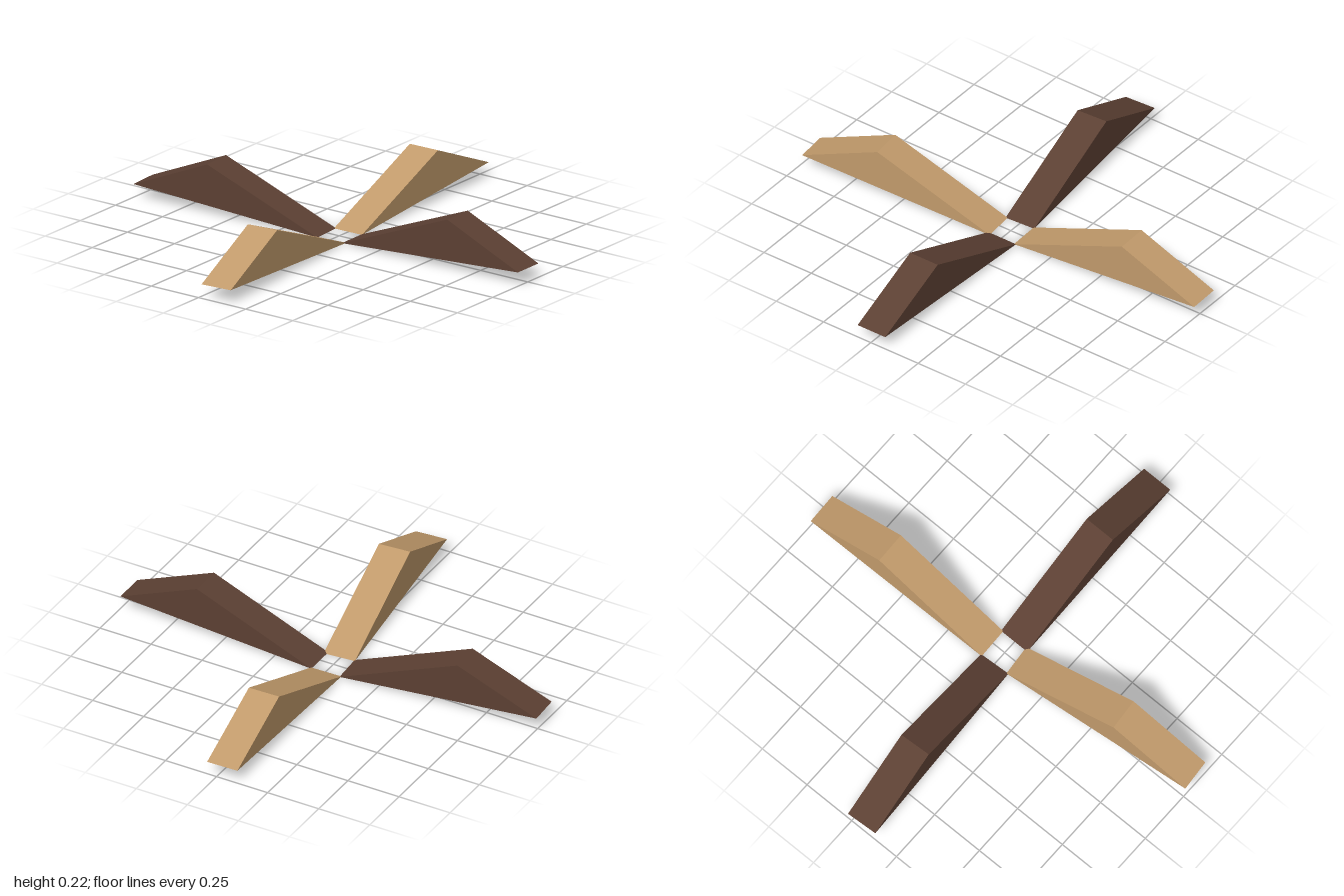
import * as THREE from 'three';

export function createModel() {
  const model = new THREE.Group();
  const tan = new THREE.MeshStandardMaterial({ color: 0xc19a6b });
  tan.name = 'tan';
  const darkBrown = new THREE.MeshStandardMaterial({ color: 0x5c4033 });
  darkBrown.name = 'dark brown';

  // Triangular wedge: starts at a low inner edge, rises to a ridge, drops to the tip
  const width = 0.146;
  const profile = new THREE.Shape([
    new THREE.Vector2(0, 0.004),
    new THREE.Vector2(0.935, 0.066),
    new THREE.Vector2(0.56, 0.226),
  ]);
  const wedge = new THREE.ExtrudeGeometry(profile, { depth: width, bevelEnabled: false });
  wedge.translate(0, 0, -width / 2);

  // Each flap runs from the middle of its inner edge to the middle of its tip (x, z)
  const flaps = [
    ['leftFlap', darkBrown, [0.065, -0.003], [1.0, -0.003]],
    ['rightFlap', darkBrown, [-0.066, 0.001], [-0.995, 0.055]],
    ['backFlap', tan, [-0.003, -0.066], [-0.028, -1.0]],
    ['frontFlap', tan, [0.006, 0.06], [0.087, 0.99]],
  ];
  for (const [name, material, inner, tip] of flaps) {
    const flap = new THREE.Mesh(wedge, material);
    flap.name = name;
    flap.position.set(inner[0], 0, inner[1]);
    flap.rotation.y = Math.atan2(inner[1] - tip[1], tip[0] - inner[0]);
    model.add(flap);
  }
  return model;
}
